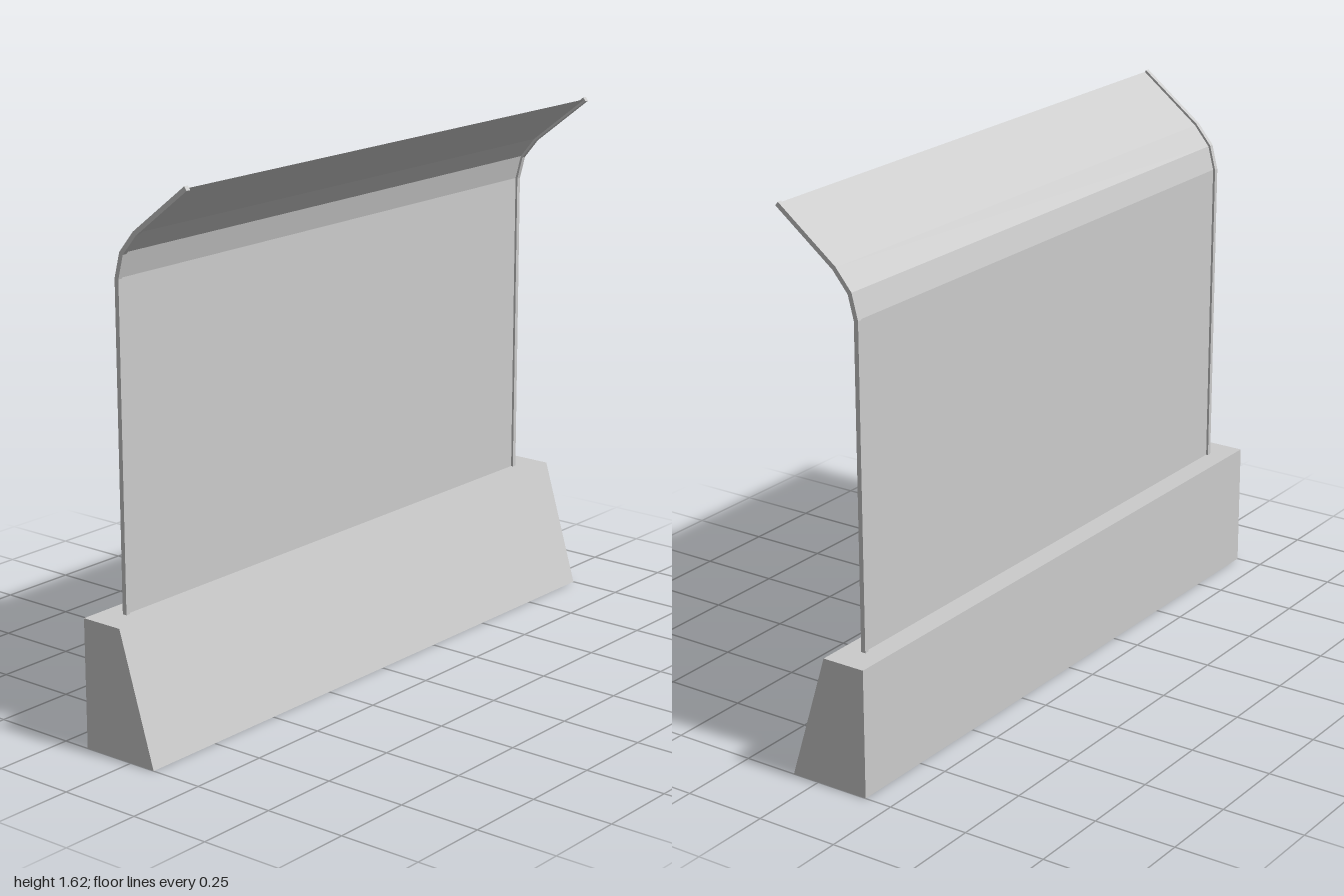
import * as THREE from 'three';

const material = new THREE.MeshStandardMaterial({ color: 0xcccccc, flatShading: true });
const sheetMaterial = new THREE.MeshStandardMaterial({ color: 0xcccccc, flatShading: true, side: THREE.DoubleSide });

// Side profile of the screen as (z, y), bottom to top
const path = [[-0.097, 0.384], [-0.097, 1.334], [-0.078, 1.406], [-0.028, 1.466], [0.158, 1.61]]
  .map(([z, y]) => new THREE.Vector2(z, y));

// Extrude a (z, y) outline along x, centred on the given x
function extrudeAlongX(points, width, x = 0) {
  const geometry = new THREE.ExtrudeGeometry(new THREE.Shape(points), { depth: width, bevelEnabled: false });
  geometry.rotateY(-Math.PI / 2);
  geometry.translate(x + width / 2, 0, 0);
  return geometry;
}

// Outline of a band of even thickness following a path, with mitred bends
function band(points, thickness) {
  const normal = (a, b) => {
    const d = b.clone().sub(a).normalize();
    return new THREE.Vector2(-d.y, d.x);
  };
  const left = [], right = [];
  points.forEach((p, i) => {
    const before = normal(points[Math.max(i - 1, 0)], points[Math.max(i, 1)]);
    const last = points.length - 1;
    const after = normal(points[Math.min(i, last - 1)], points[Math.min(i + 1, last)]);
    const miter = before.clone().add(after).normalize();
    miter.multiplyScalar(thickness / 2 / miter.dot(before));
    left.push(p.clone().add(miter));
    right.push(p.clone().sub(miter));
  });
  return [...right, ...left.reverse()];
}

function addMesh(group, name, geometry, mat = material) {
  const mesh = new THREE.Mesh(geometry, mat);
  mesh.name = name;
  group.add(mesh);
}

export function createModel() {
  const group = new THREE.Group();
  group.name = 'curvedBarrier';

  // Heavy base with a sloping front
  const baseOutline = [[-0.165, 0], [0.086, 0], [-0.031, 0.385], [-0.165, 0.385]]
    .map(([z, y]) => new THREE.Vector2(z, y));
  addMesh(group, 'base', extrudeAlongX(baseOutline, 2));

  // Slim bent posts at both ends
  const postOutline = band(path, 0.014);
  for (const [name, side] of [['leftPost', 1], ['rightPost', -1]]) {
    addMesh(group, name, extrudeAlongX(postOutline, 0.014, side * 0.903));
  }

  // Thin panel bent along the same path
  const panel = new THREE.PlaneGeometry(1.806, 1, 1, path.length - 1);
  const position = panel.attributes.position;
  for (let i = 0; i < position.count; i++) {
    const point = path[path.length - 1 - Math.floor(i / 2)];
    position.setY(i, point.y);
    position.setZ(i, point.x);
  }
  const flatPanel = panel.toNonIndexed();
  flatPanel.computeVertexNormals();
  addMesh(group, 'panel', flatPanel, sheetMaterial);

  return group;
}
